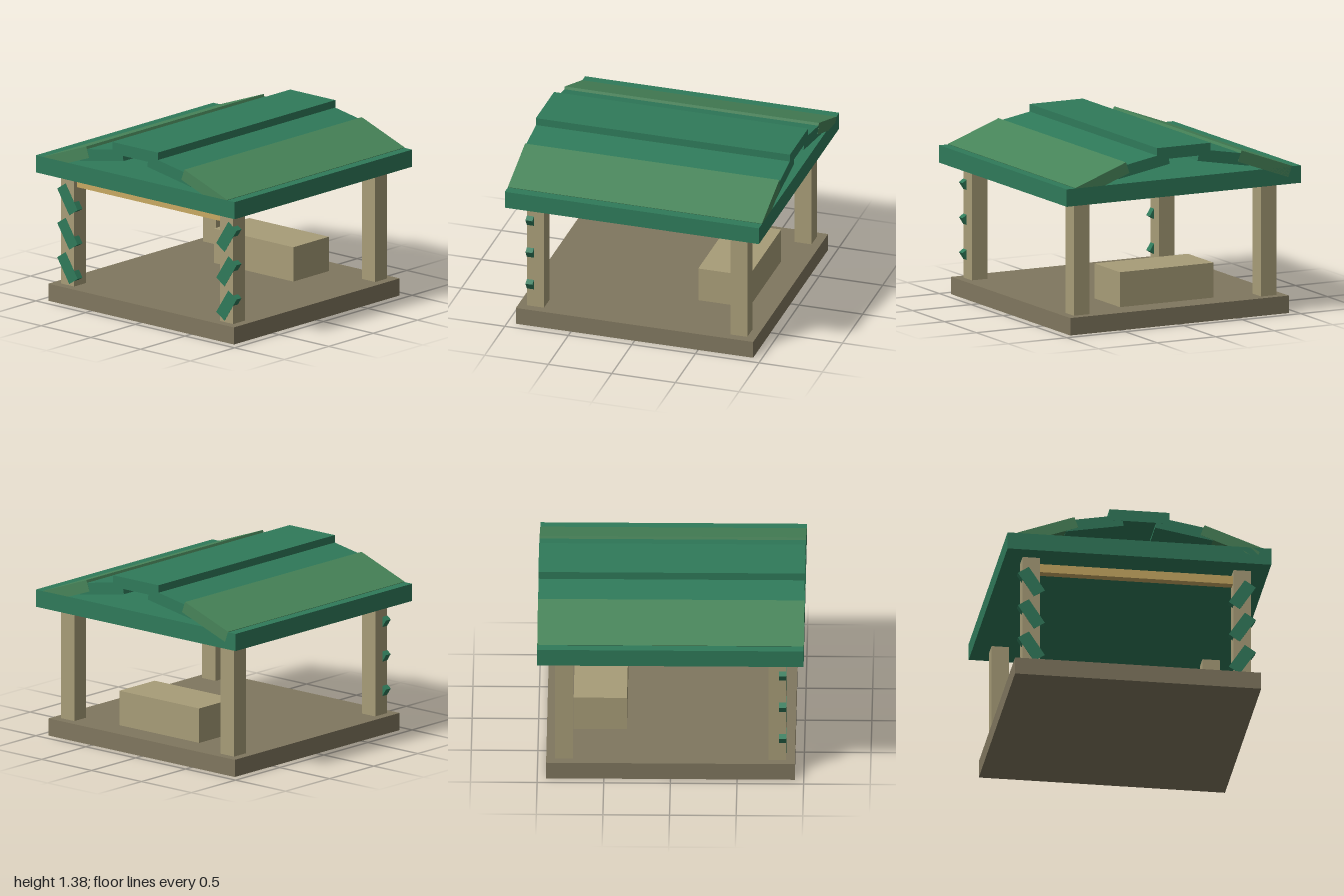
import * as THREE from 'three';

const material = (color) => new THREE.MeshStandardMaterial({ color, flatShading: true });

export function createModel() {
  const model = new THREE.Group();
  model.name = 'pavilion';

  const green = material(0x2f7a5a);
  const lightGreen = material(0x478459);
  const tan = material(0xa89d78);
  const brown = material(0x80775f);
  const gold = material(0xc9aa62);

  // Box given by size, centre and tilt about z
  function box(name, mat, [w, h, d], [x, y, z], tilt = 0) {
    const mesh = new THREE.Mesh(new THREE.BoxGeometry(w, h, d), mat);
    mesh.name = name;
    mesh.position.set(x, y, z);
    mesh.rotation.z = tilt;
    model.add(mesh);
    return mesh;
  }

  // Floor, counter at the back, and front beam between the posts
  box('floor', brown, [1.867, 0.133, 1.867], [0, 0.0667, 0]);
  box('counter', tan, [0.8, 0.267, 0.4], [0, 0.267, -0.533]);
  box('frontBeam', gold, [1.467, 0.0667, 0.0667], [0, 0.933, 0.8]);

  // Flat eave slab and ridge cap
  box('eaveSlab', green, [2, 0.133, 2], [0, 1.067, 0]);
  box('ridgeCap', green, [0.453, 0.089, 2], [0, 1.333, 0]);

  // Tilted roof plank, placed by its outer top corner and mirrored by side
  function roofPlank(name, mat, side, outerX, outerY, length, depth, degrees) {
    const a = THREE.MathUtils.degToRad(degrees);
    const t = 0.089;
    const x = outerX - (Math.cos(a) * length) / 2 - (Math.sin(a) * t) / 2;
    const y = outerY + (Math.sin(a) * length) / 2 - (Math.cos(a) * t) / 2;
    box(name, mat, [length, t, depth], [side * x, y, 0], -side * a);
  }

  for (const side of [-1, 1]) {
    roofPlank('lowerRoofPlank', lightGreen, side, 0.925, 1.137, 0.459, 2, 20);
    roofPlank('upperRoofPlank', green, side, 0.572, 1.259, 0.444, 1.998, 10);

    // Corner posts
    for (const z of [-0.8, 0.8]) {
      box('post', tan, [0.133, 0.867, 0.133], [side * 0.8, 0.567, z]);
    }

    // Slanted leaves on the front posts
    for (const y of [0.265, 0.532, 0.8]) {
      box('postLeaf', green, [0.1, 0.223, 0.055], [side * 0.8, y, 0.841], -side * 0.577);
    }
  }

  return model;
}
